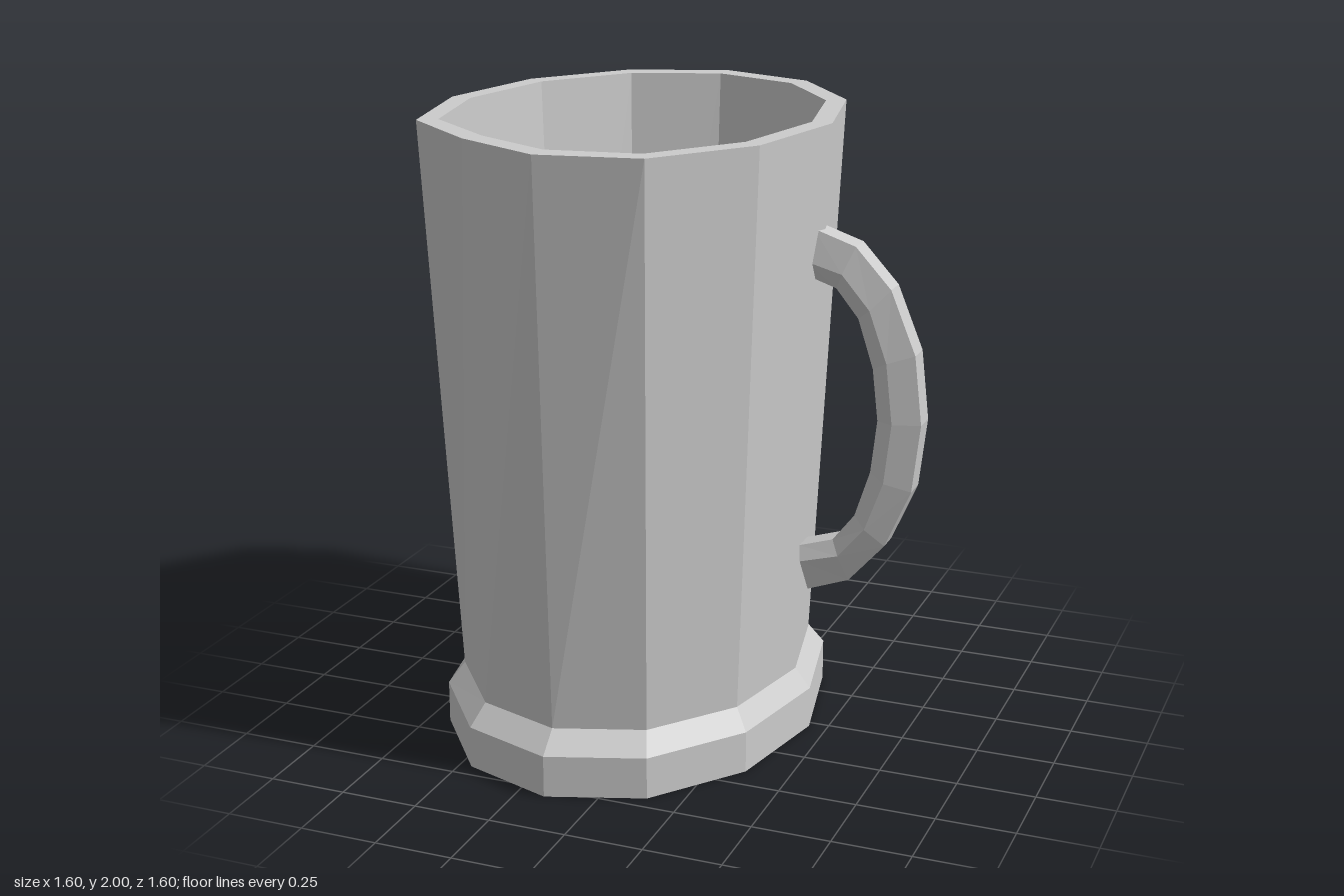
import * as THREE from 'three';

const CX = -0.16, CZ = 0.025, SIDES = 12;

// Skin between successive rings of points, with optional end caps.
function loft(rings, capStart, capEnd) {
  const n = rings[0].length, pos = [];
  const tri = (a, b, c) => pos.push(...a, ...b, ...c);
  for (let k = 0; k < rings.length - 1; k++) {
    for (let j = 0; j < n; j++) {
      const j2 = (j + 1) % n;
      const a = rings[k][j], b = rings[k][j2], c = rings[k + 1][j], d = rings[k + 1][j2];
      tri(a, c, b);
      tri(b, c, d);
    }
  }
  const first = rings[0], last = rings[rings.length - 1];
  for (let j = 1; j < n - 1; j++) {
    if (capStart) tri(first[0], first[j], first[j + 1]);
    if (capEnd) tri(last[0], last[j + 1], last[j]);
  }
  const g = new THREE.BufferGeometry();
  g.setAttribute('position', new THREE.Float32BufferAttribute(pos, 3));
  g.computeVertexNormals();
  return g;
}

// Twelve-sided oval ring; dents replace single corners with [x, z].
function oval(y, rx, rz, dents = {}) {
  return Array.from({ length: SIDES }, (_, i) => {
    const t = (i / SIDES) * Math.PI * 2;
    const [x, z] = dents[i] || [CX + rx * Math.cos(t), CZ + rz * Math.sin(t)];
    return [x, y, z];
  });
}

export function createModel() {
  const group = new THREE.Group();
  const grey = new THREE.MeshStandardMaterial({ color: 0xcccccc, flatShading: true });
  grey.name = 'grey';
  const add = (name, geometry) => {
    const mesh = new THREE.Mesh(geometry, grey);
    mesh.name = name;
    group.add(mesh);
  };

  // Chamfered foot
  add('base', loft([
    oval(0, 0.6, 0.775),
    oval(0.135, 0.6, 0.775),
    oval(0.2, 0.55, 0.705),
  ], true, false));

  // Flared cup: outer wall, rim with a dent at the front left, inner wall and floor
  add('cup', loft([
    oval(0.2, 0.55, 0.705),
    oval(2, 0.64, 0.82, { 3: [CX, 0.795], 4: [-0.45, 0.65] }),
    oval(2, 0.575, 0.745, { 3: [CX, 0.717], 4: [-0.415, 0.59] }),
    oval(0.2, 0.485, 0.62),
  ], false, true));

  // Handle stations from bottom to top: outer x, y, middle x, y, inner x, y
  const stations = [
    [0.44, 0.50, 0.42, 0.60, 0.41, 0.645],
    [0.575, 0.55, 0.545, 0.635, 0.52, 0.68],
    [0.69, 0.68, 0.63, 0.735, 0.59, 0.77],
    [0.772, 0.87, 0.688, 0.895, 0.638, 0.92],
    [0.797, 1.09, 0.71, 1.09, 0.657, 1.09],
    [0.772, 1.31, 0.688, 1.283, 0.638, 1.255],
    [0.69, 1.51, 0.63, 1.445, 0.588, 1.41],
    [0.575, 1.635, 0.54, 1.55, 0.515, 1.50],
    [0.44, 1.68, 0.43, 1.58, 0.425, 1.53],
  ];
  const narrow = 0.04, wide = 0.065;
  add('handle', loft(stations.map(([ox, oy, mx, my, ix, iy]) => [
    [ox, oy, CZ - narrow], [ox, oy, CZ + narrow], [mx, my, CZ + wide],
    [ix, iy, CZ + narrow], [ix, iy, CZ - narrow], [mx, my, CZ - wide],
  ]), true, true));

  return group;
}
